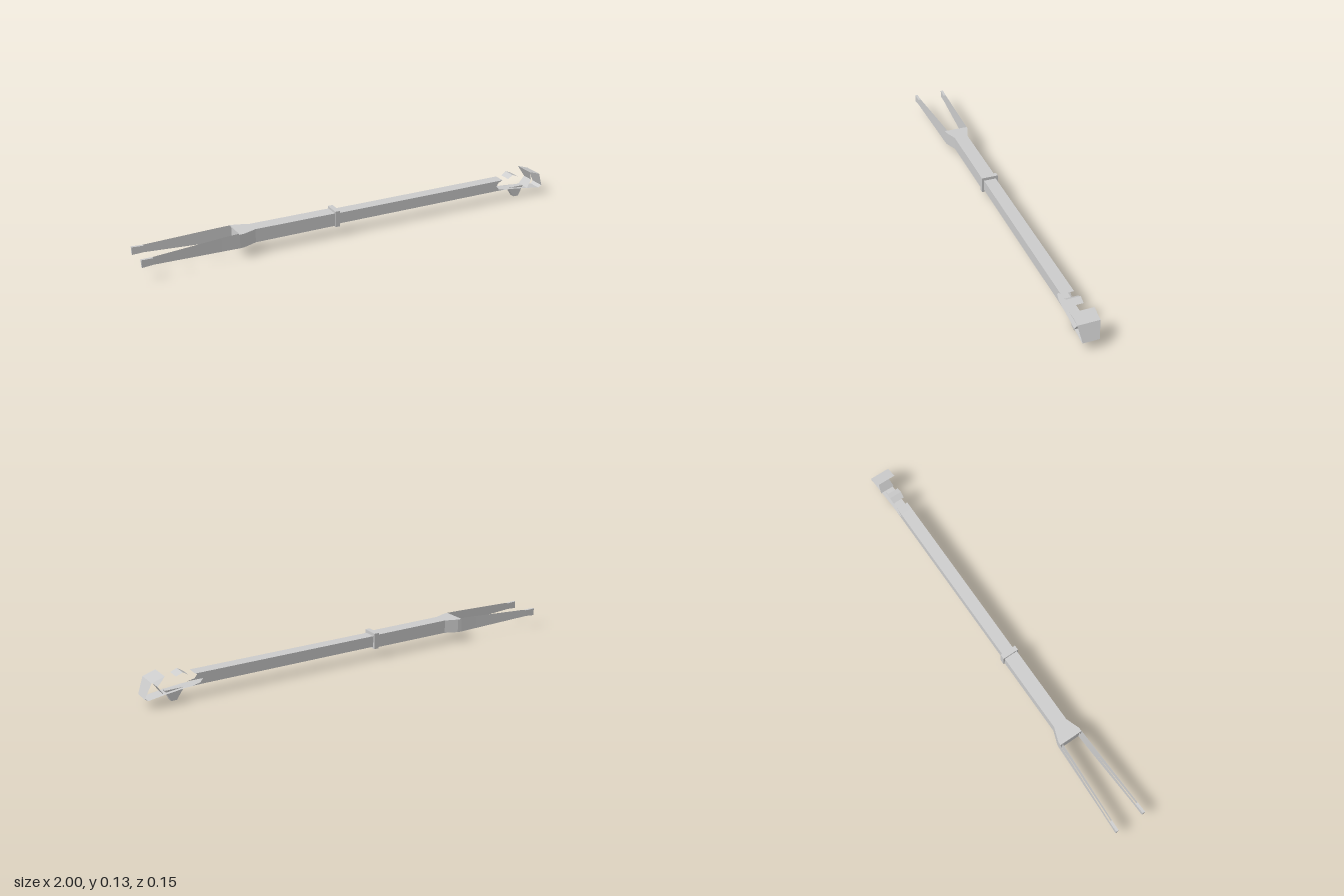
import * as THREE from 'three';

const material = new THREE.MeshStandardMaterial({
  color: 0xcccccc, flatShading: true, side: THREE.DoubleSide,
});

function meshFromQuads(name, quads) {
  const positions = [];
  for (const [a, b, c, d] of quads) positions.push(...a, ...b, ...c, ...a, ...c, ...d);
  const geometry = new THREE.BufferGeometry();
  geometry.setAttribute('position', new THREE.Float32BufferAttribute(positions, 3));
  geometry.computeVertexNormals();
  const mesh = new THREE.Mesh(geometry, material);
  mesh.name = name;
  return mesh;
}

// Box-like loft along x; each section is [x, bottom, top, zMin, zMax].
// Faces in order: +z, top, -z, bottom. open(i, k) leaves a face out.
function loft(name, sections, open = () => false, caps = [true, true]) {
  const rings = sections.map(([x, y0, y1, z0, z1]) =>
    [[x, y0, z1], [x, y1, z1], [x, y1, z0], [x, y0, z0]]);
  const quads = [];
  for (let i = 0; i < rings.length - 1; i++) {
    for (let k = 0; k < 4; k++) {
      if (open(i, k)) continue;
      const n = (k + 1) % 4;
      quads.push([rings[i][k], rings[i + 1][k], rings[i + 1][n], rings[i][n]]);
    }
  }
  if (caps[0]) quads.push(rings[0]);
  if (caps[1]) quads.push([...rings[rings.length - 1]].reverse());
  return meshFromQuads(name, quads);
}

// Bent plate across z; each profile point is [x, y, halfWidth].
function plate(name, profile) {
  const quads = [];
  for (let i = 0; i < profile.length - 1; i++) {
    const [x0, y0, w0] = profile[i], [x1, y1, w1] = profile[i + 1];
    quads.push([[x0, y0, w0], [x1, y1, w1], [x1, y1, -w1], [x0, y0, -w0]]);
  }
  return meshFromQuads(name, quads);
}

export function createModel() {
  const model = new THREE.Group();
  model.name = 'forkedBoom';

  // Thicker rear sleeve flaring into the fork
  model.add(loft('rearSleeve', [
    [-0.57, 0.046, 0.108, -0.056, 0.056],
    [-0.55, 0.046, 0.108, -0.054, 0.054],
    [-0.49, 0.047, 0.108, -0.032, 0.032],
    [-0.1, 0.048, 0.107, -0.032, 0.032],
  ]));

  // Collar between sleeve and boom
  model.add(loft('collar', [
    [-0.115, 0.044, 0.117, -0.038, 0.038],
    [-0.092, 0.044, 0.117, -0.038, 0.038],
  ]));

  // Slim boom, hollow at its far end
  const h = 0.028, low = 0.053, high = 0.103;
  model.add(loft('boom', [
    [-0.1, low, high, -h, h], [0.74, low, high, -h, h],
  ], undefined, [true, false]));

  // Notched side lips and short top lip at the mouth of the boom
  for (const z of [h, -h]) {
    const lip = new THREE.Shape([
      [0.74, low], [0.79, low], [0.755, 0.06], [0.74, 0.078],
      [0.752, 0.094], [0.775, high], [0.74, high],
    ].map(([x, y]) => new THREE.Vector2(x, y)));
    const mesh = new THREE.Mesh(new THREE.ShapeGeometry(lip), material);
    mesh.position.z = z;
    if (z < 0) {
      // Turn the far lip outward
      mesh.geometry.setIndex([...mesh.geometry.index.array].reverse());
      mesh.geometry.computeVertexNormals();
    }
    mesh.name = z > 0 ? 'frontLip' : 'backLip';
    model.add(mesh);
  }
  model.add(plate('topLip', [[0.74, high, h], [0.775, high, h]]));

  // Fork prongs: paired walls closed only at the tips
  for (const side of [1, -1]) {
    const sections = [
      [-1, 0.058, 0.092, 0.063, 0.075],
      [-0.95, 0.061, 0.09, 0.061, 0.073],
      [-0.65, 0.049, 0.105, 0.047, 0.059],
      [-0.57, 0.046, 0.108, 0.044, 0.056],
    ].map(([x, y0, y1, a, b]) => (side > 0 ? [x, y0, y1, a, b] : [x, y0, y1, -b, -a]));
    model.add(loft(side > 0 ? 'frontProng' : 'backProng', sections,
      (i, k) => i > 0 && k % 2 === 1, [true, false]));
  }

  // Head: open plates without side walls
  const head = new THREE.Group();
  head.name = 'head';
  head.add(
    plate('lowerJaw', [[0.74, 0.053, h], [0.82, 0.05, h], [0.91, 0.04, 0.03], [0.985, 0.029, 0.031], [1, 0.04, 0.035]]),
    plate('topClip', [[0.805, 0.104, h], [0.83, 0.12, 0.03], [0.86, 0.108, 0.03]]),
    plate('facePlate', [[0.915, 0.126, 0.048], [0.972, 0.108, 0.048], [1, 0.04, 0.035]]),
    plate('throatPlate', [[0.915, 0.126, 0.048], [0.94, 0.078, 0.028], [0.915, 0.04, 0.035]]),
  );
  model.add(head);

  // Tapered peg below the head
  const peg = new THREE.Shape([
    [0.82, 0.05], [0.855, 0], [0.88, 0], [0.905, 0.05],
  ].map(([x, y]) => new THREE.Vector2(x, y)));
  const pegGeometry = new THREE.ExtrudeGeometry(peg, { depth: 0.026, bevelEnabled: false });
  pegGeometry.translate(0, 0, -0.013);
  const pegMesh = new THREE.Mesh(pegGeometry, material);
  pegMesh.name = 'lowerPeg';
  model.add(pegMesh);

  return model;
}
